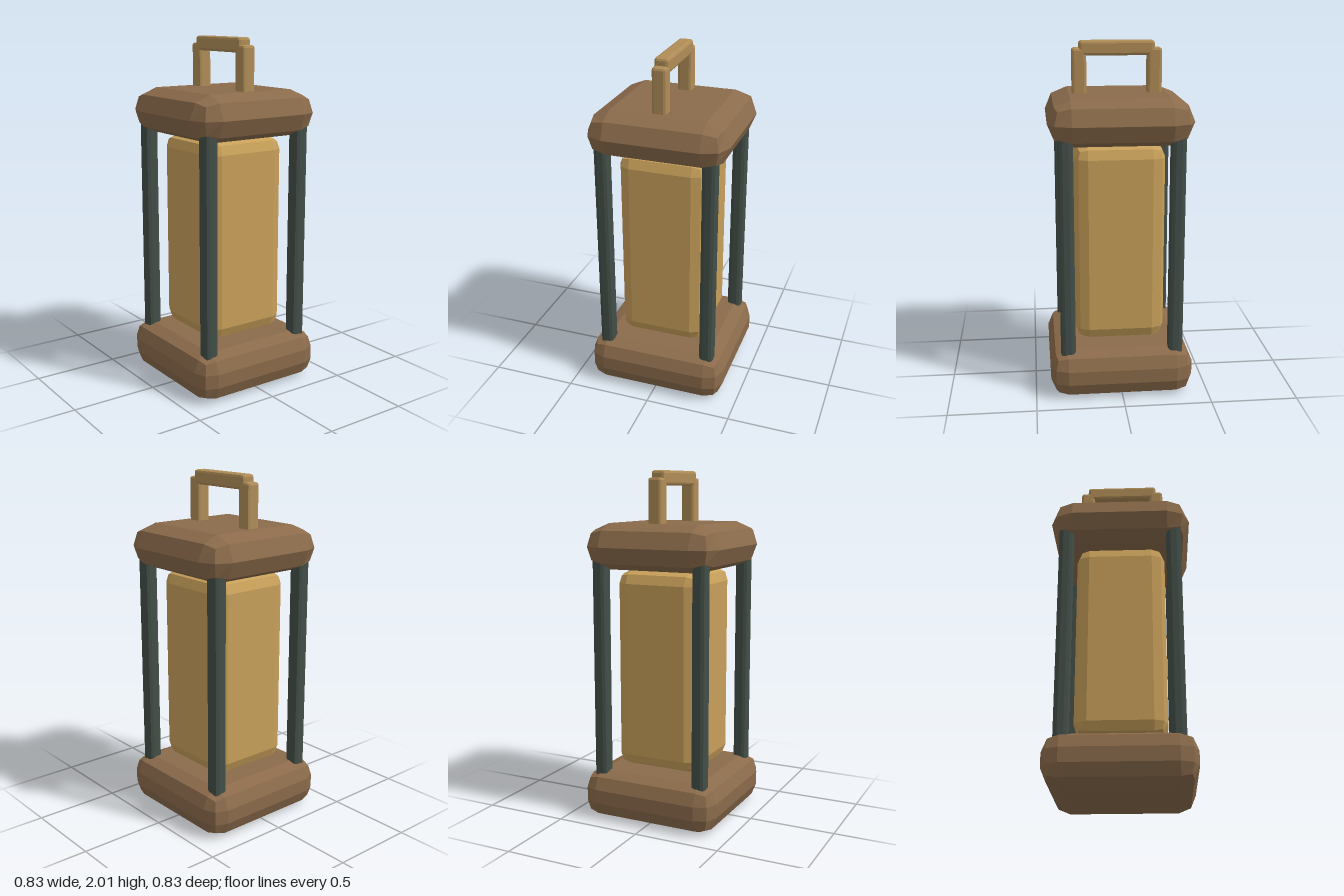
import * as THREE from 'three';
import { RoundedBoxGeometry } from 'three/addons/geometries/RoundedBoxGeometry.js';

const material = (name, color) => {
  const m = new THREE.MeshStandardMaterial({ color });
  m.name = name;
  return m;
};

// Low-poly bevelled box given by its true outer extents, with faceted normals
function bevelBox(name, mat, [w, h, d], [x, y, z], r) {
  const grow = 2 * r * (1 - 3 / Math.sqrt(11)); // one-segment bevels fall short of the nominal size
  const rounded = new RoundedBoxGeometry(w + grow, h + grow, d + grow, 1, r);
  const geo = rounded.index ? rounded.toNonIndexed() : rounded;
  geo.computeVertexNormals();
  const mesh = new THREE.Mesh(geo, mat);
  mesh.name = name;
  mesh.position.set(x, y, z);
  return mesh;
}

export function createModel() {
  const wood = material('brown wood', 0x8b6b4b);
  const glow = material('amber pane', 0xc8a05a);
  const brass = material('dull brass', 0xb08d57);
  const iron = material('dark green iron', 0x434f49);

  const lantern = new THREE.Group();
  lantern.name = 'lantern';

  // Base, lid and glowing core
  lantern.add(
    bevelBox('base', wood, [0.806, 0.262, 0.806], [0, 0.131, 0], 0.1),
    bevelBox('lid', wood, [0.786, 0.236, 0.786], [0, 1.58, 0], 0.13),
    bevelBox('core', glow, [0.5, 1.142, 0.5], [0, 0.866, 0], 0.075)
  );

  // Four corner posts, sunk into base and lid
  const posts = new THREE.Group();
  posts.name = 'posts';
  for (const sx of [-1, 1])
    for (const sz of [-1, 1])
      posts.add(bevelBox('post', iron, [0.08, 1.36, 0.08], [sx * 0.31, 0.87, sz * 0.31], 0.025));

  // Carrying handle: two uprights and a crossbar
  const handle = new THREE.Group();
  handle.name = 'handle';
  for (const sx of [-1, 1])
    handle.add(bevelBox('handleUpright', brass, [0.08, 0.32, 0.08], [sx * 0.214, 1.8, 0], 0.015));
  handle.add(bevelBox('handleBar', brass, [0.424, 0.08, 0.08], [0, 1.96, 0], 0.015));

  lantern.add(posts, handle);
  return lantern;
}
